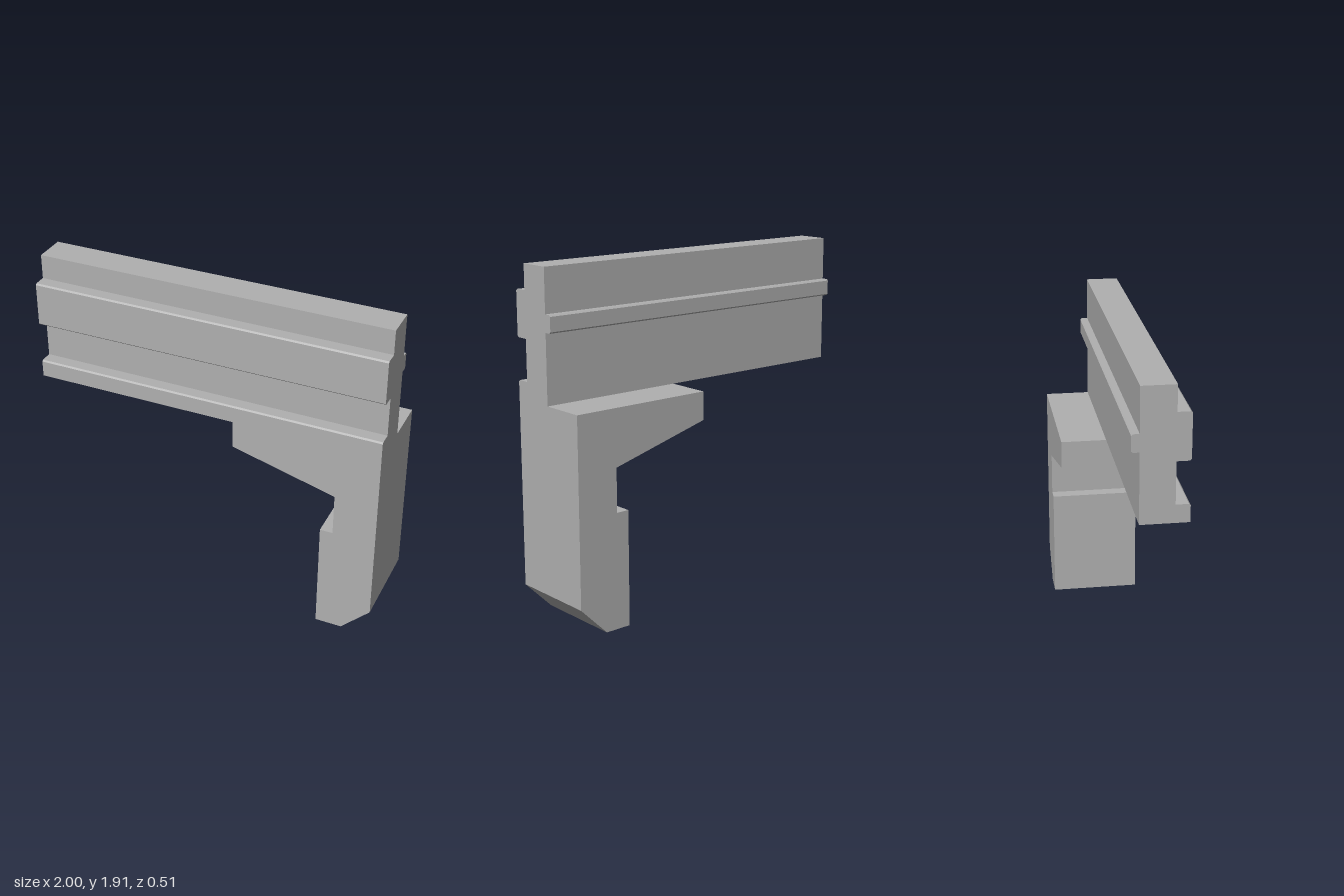
import * as THREE from 'three';

// Extrude a closed outline of [x, y] points to a sharp-edged solid
function prism(points, depth) {
  const shape = new THREE.Shape(points.map(([x, y]) => new THREE.Vector2(x, y)));
  return new THREE.ExtrudeGeometry(shape, { depth, bevelEnabled: false });
}

export function createModel() {
  const group = new THREE.Group();
  const grey = new THREE.MeshStandardMaterial({ color: 0xb0b0b0 });
  grey.name = 'grey';

  // Long rail: [z, y] section with front ridges and a back tongue, small chamfers
  const c = 0.008, front = 0.255, face = 0.18, tongue = -0.042;
  const section = [
    [0, 1.2], [front, 1.2],
    [front, 1.298 - c], [front - c, 1.298], [face, 1.298],
    [face, 1.525], [front - c, 1.525], [front, 1.525 + c],
    [front, 1.777 - c], [front - c, 1.777], [face, 1.777],
    [face, 1.915], [0, 1.915],
    [0, 1.675], [tongue + c, 1.675], [tongue, 1.675 - c],
    [tongue, 1.58 + c], [tongue + c, 1.58], [0, 1.58],
  ].map(([z, y]) => [-z, y]);
  const rail = new THREE.Mesh(prism(section, 2).rotateY(Math.PI / 2).translate(-1, 0, 0), grey);
  rail.name = 'rail';
  group.add(rail);

  // Hooked leg under one end, with a sloping arm and a cut foot
  const outline = [
    [0.165, 1.2], [0.165, 1.042], [0.758, 0.885], [0.758, 0.642], [0.685, 0.642],
    [0.685, 0], [0.837, 0], [1, 0.163], [1, 1.2],
  ];
  const leg = new THREE.Mesh(prism(outline, 0.51).translate(0, 0, -0.255), grey);
  leg.name = 'hookedLeg';
  group.add(leg);

  return group;
}
